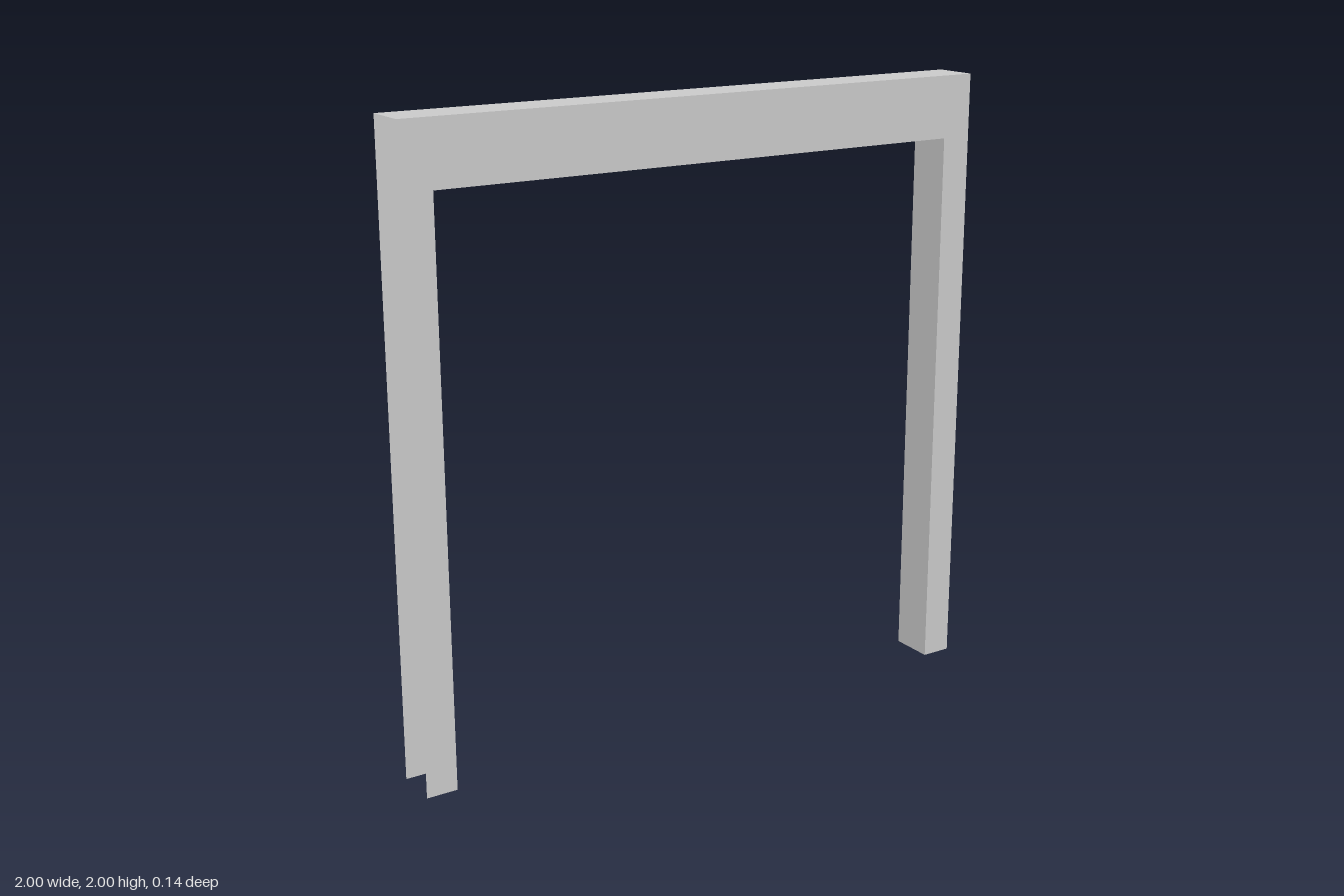
import * as THREE from 'three';

export function createModel() {
  const group = new THREE.Group();
  group.name = 'doorFrame';
  const grey = new THREE.MeshStandardMaterial({ color: 0xcccccc, side: THREE.DoubleSide });
  grey.name = 'light grey';

  const half = 1, height = 2, depth = 0.145;
  const innerHalf = 0.9, innerHeight = 1.8;

  function add(name, geometry, x, y, z) {
    const mesh = new THREE.Mesh(geometry, grey);
    mesh.name = name;
    mesh.position.set(x, y, z);
    group.add(mesh);
  }

  // Front and back casings: one flat arch outline each
  const arch = new THREE.Shape([
    [-half, 0], [-innerHalf, 0], [-innerHalf, innerHeight], [innerHalf, innerHeight],
    [innerHalf, 0], [half, 0], [half, height], [-half, height],
  ].map(([x, y]) => new THREE.Vector2(x, y)));
  add('frontCasing', new THREE.ShapeGeometry(arch), 0, 0, depth / 2);
  add('backCasing', new THREE.ShapeGeometry(arch).rotateY(Math.PI), 0, 0, -depth / 2);

  // Inner jambs facing the opening; the outer sides stay open
  for (const side of [-1, 1]) {
    const jamb = new THREE.PlaneGeometry(depth, innerHeight).rotateY(-side * Math.PI / 2);
    add(side > 0 ? 'leftJamb' : 'rightJamb', jamb, side * innerHalf, innerHeight / 2, 0);
  }

  // Underside of the header and its top cover
  add('headSoffit', new THREE.PlaneGeometry(2 * innerHalf, depth).rotateX(Math.PI / 2), 0, innerHeight, 0);
  add('topCover', new THREE.PlaneGeometry(2 * half, depth).rotateX(-Math.PI / 2), 0, height, 0);

  return group;
}
